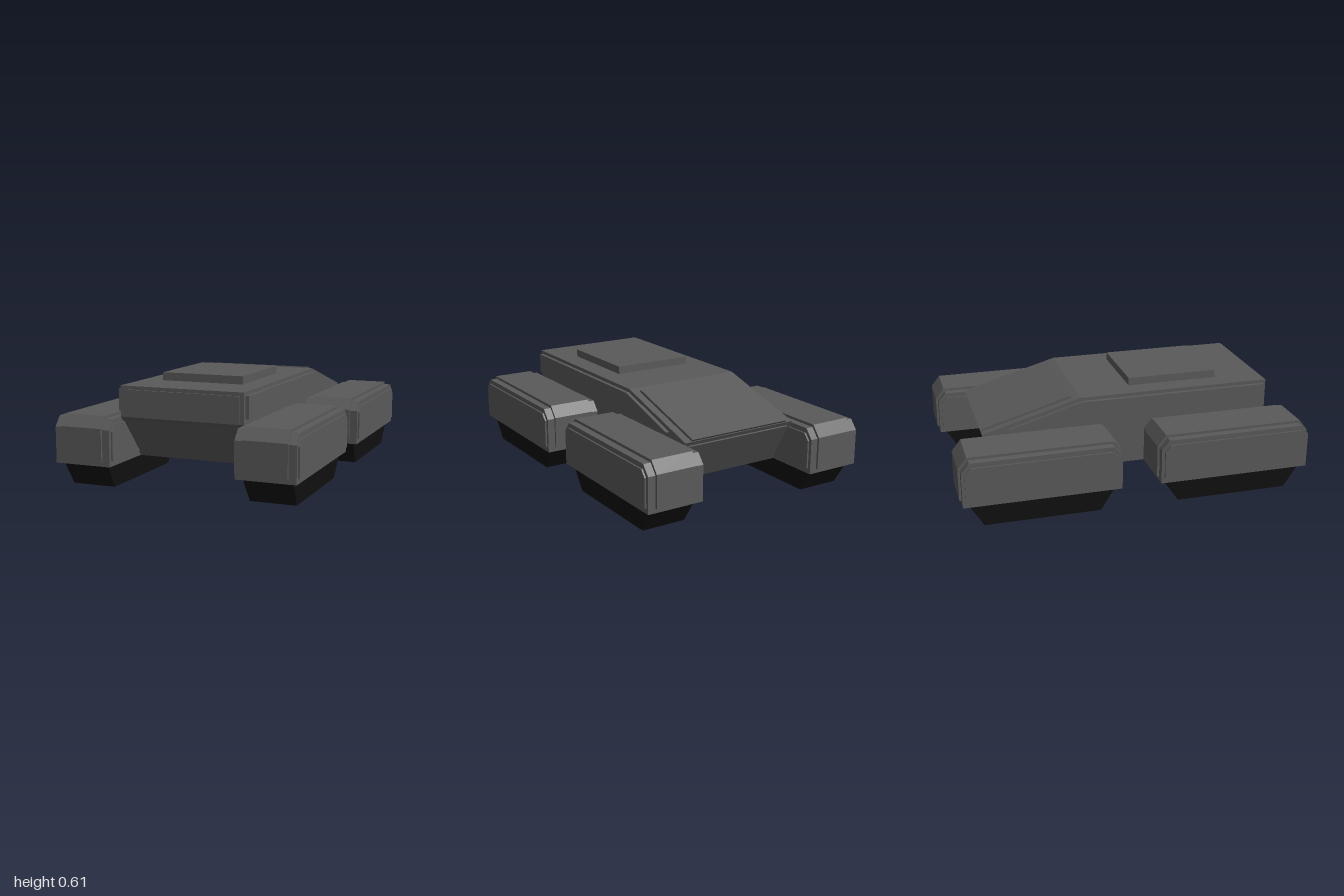
import * as THREE from 'three';

const bodyGrey = new THREE.MeshStandardMaterial({ color: 0x5a5a5a });
bodyGrey.name = 'bodyGrey';
const treadBlack = new THREE.MeshStandardMaterial({ color: 0x101010 });
treadBlack.name = 'treadBlack';

// Side profile given as [z, y] points, extruded across x from x0 to x1
function profile(name, points, x0, x1) {
  const shape = new THREE.Shape(points.map(([z, y]) => new THREE.Vector2(-z, y)));
  const geo = new THREE.ExtrudeGeometry(shape, { depth: x1 - x0, bevelEnabled: false });
  geo.rotateY(Math.PI / 2);
  geo.translate(x0, 0, 0);
  const mesh = new THREE.Mesh(geo, bodyGrey);
  mesh.name = name;
  return mesh;
}

// Pod outline with both upper corners cut off
function podOutline(half, bottom, top, cutZ, cutY) {
  return [
    [half, bottom], [half, top - cutY], [half - cutZ, top],
    [-half + cutZ, top], [-half, top - cutY], [-half, bottom],
  ];
}

// Tread block narrowing towards the ground
function tread() {
  const height = 0.135;
  const geo = new THREE.BoxGeometry(0.272, height, 0.81).toNonIndexed();
  const p = geo.attributes.position;
  for (let i = 0; i < p.count; i++) {
    if (p.getY(i) < 0) {
      p.setX(i, p.getX(i) * 0.94);
      p.setZ(i, p.getZ(i) * 0.8);
    }
  }
  geo.translate(0, height / 2, 0);
  geo.computeVertexNormals();
  const mesh = new THREE.Mesh(geo, treadBlack);
  mesh.name = 'tread';
  return mesh;
}

// Track pod: housing, raised centre band, side plates and tread
function trackPod() {
  const pod = new THREE.Group();
  pod.add(
    profile('podHousing', podOutline(0.438, 0.135, 0.39, 0.045, 0.055), -0.165, 0.165),
    profile('podCentreBand', podOutline(0.45, 0.16, 0.405, 0.05, 0.063), -0.122, 0.122),
    profile('podSidePlates', podOutline(0.42, 0.165, 0.363, 0.03, 0.037), -0.175, 0.175),
    tread(),
  );
  return pod;
}

export function createModel() {
  const model = new THREE.Group();
  model.name = 'trackedVehicle';

  // Hull
  model.add(profile('hull', [
    [0.858, 0.39], [0.858, 0.56], [-0.26, 0.56],
    [-0.822, 0.4], [-0.67, 0.135], [0.64, 0.135],
  ], -0.358, 0.358));

  // Raised plates on the hull sides
  for (const side of [-1, 1]) {
    const x = side * 0.367;
    model.add(profile(side > 0 ? 'leftSidePlate' : 'rightSidePlate', [
      [0.84, 0.42], [0.84, 0.54], [-0.26, 0.54], [-0.67, 0.42],
    ], x - 0.012, x + 0.012));
  }

  // Nose, lower nose, rear deck and lower rear plates
  model.add(
    profile('nosePlate', [[0.85, 0.4], [0.868, 0.4], [0.868, 0.54], [0.85, 0.54]], -0.337, 0.337),
    profile('lowerNosePlate', [[0.835, 0.38], [0.844, 0.374], [0.66, 0.14], [0.64, 0.14]], -0.337, 0.337),
    profile('rearDeckPlate', [[-0.305, 0.545], [-0.31, 0.562], [-0.828, 0.413], [-0.815, 0.4]], -0.315, 0.315),
    profile('lowerRearPlate', [[-0.8, 0.38], [-0.818, 0.374], [-0.687, 0.145], [-0.67, 0.145]], -0.33, 0.33),
  );

  // Roof hatch
  const hatch = new THREE.Mesh(new THREE.BoxGeometry(0.48, 0.05, 0.53), bodyGrey);
  hatch.name = 'roofHatch';
  hatch.position.set(0, 0.58, 0.318);
  model.add(hatch);

  // Four track pods
  for (const x of [-1, 1]) {
    for (const z of [-1, 1]) {
      const pod = trackPod();
      pod.name = (z > 0 ? 'front' : 'rear') + (x > 0 ? 'Left' : 'Right') + 'TrackPod';
      pod.position.set(x * 0.525, 0, z * 0.55);
      model.add(pod);
    }
  }
  return model;
}
